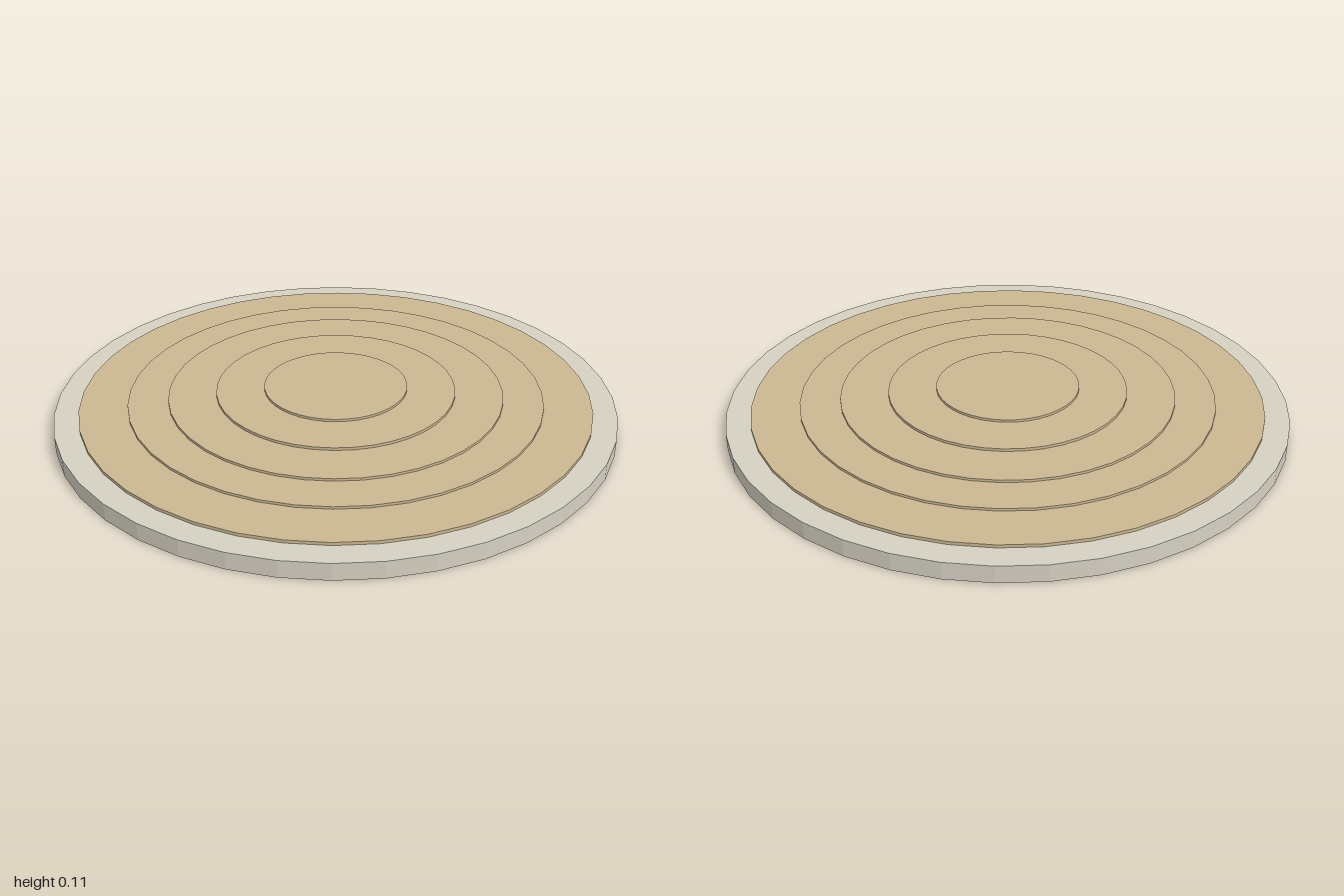
import * as THREE from 'three';

export function createModel() {
  const model = new THREE.Group();
  model.name = 'steppedDisc';

  const stone = new THREE.MeshStandardMaterial({ color: 0xd5d0c2 });
  stone.name = 'pale stone';
  const sand = new THREE.MeshStandardMaterial({ color: 0xcbb792 });
  sand.name = 'warm sand';

  // Faceted disc between two heights
  function addDisc(name, radius, bottom, top, material) {
    const geometry = new THREE.CylinderGeometry(radius, radius, top - bottom, 40).toNonIndexed();
    geometry.computeVertexNormals();
    const mesh = new THREE.Mesh(geometry, material);
    mesh.name = name;
    mesh.position.y = (bottom + top) / 2;
    model.add(mesh);
  }

  // Wide base plate
  addDisc('basePlate', 1, 0, 0.061, stone);

  // Shallow concentric steps rising to the centre
  const radii = [0.914, 0.743, 0.6, 0.429, 0.257];
  const heights = [0.061, 0.072, 0.081, 0.09, 0.1, 0.109];
  radii.forEach((radius, i) => {
    addDisc(`step${i + 1}`, radius, heights[i], heights[i + 1], sand);
  });

  return model;
}
